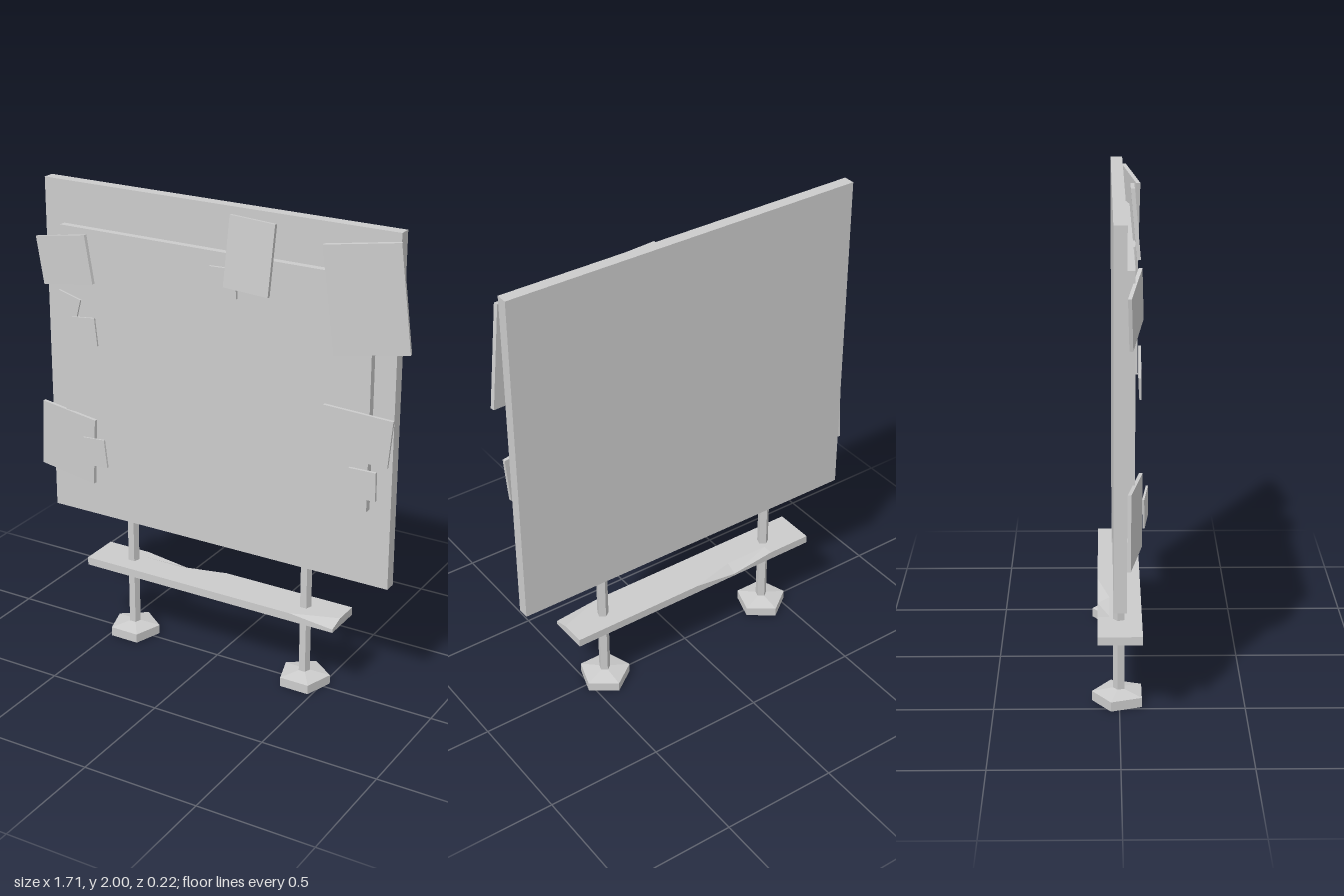
import * as THREE from 'three';

const material = new THREE.MeshStandardMaterial({ color: 0xcccccc, flatShading: true });

function part(parent, name, geometry, x = 0, y = 0, z = 0) {
  const mesh = new THREE.Mesh(geometry, material);
  mesh.name = name;
  mesh.position.set(x, y, z);
  parent.add(mesh);
  return mesh;
}

// Five-sided column with one corner pointing to the back
const pentagon = (top, bottom, height) =>
  new THREE.CylinderGeometry(top, bottom, height, 5, 1, false, Math.PI);

// Poster sheet with a slightly sagging lower edge
function posterGeometry() {
  const outline = [[-0.71, 1.82], [-0.71, 0.855], [-0.2, 0.842], [0.15, 0.84], [0.705, 0.87], [0.705, 1.82]];
  const shape = new THREE.Shape(outline.map(([x, y]) => new THREE.Vector2(x, y)));
  return new THREE.ExtrudeGeometry(shape, { depth: 0.035, bevelEnabled: false });
}

// Plank with a chip in the back edge and a worn front corner
function plankGeometry() {
  const g = new THREE.BoxGeometry(1.19, 0.035, 0.176, 6, 1, 2);
  const p = g.attributes.position;
  for (let i = 0; i < p.count; i++) {
    const column = Math.round(p.getX(i) / (1.19 / 6));
    const z = p.getZ(i);
    if (p.getY(i) < 0) continue;
    if (Math.abs(z) < 0.01) p.setZ(i, column === 3 ? 0.02 : -0.04);
    if (column === -1 && z < -0.05) p.setY(i, -0.008);
    if (column === 3 && z > 0.05) p.setY(i, -0.003);
  }
  g.computeVertexNormals();
  return g;
}

// Pinned papers: name, x, y, z, width, height, thickness, roll, yaw, pitch (degrees)
const papers = [
  ['upperLeftPaper', -0.69, 1.675, 0.057, 0.28, 0.203, 0.014, 11, -9, 0],
  ['upperLeftNote', -0.677, 1.476, 0.07, 0.11, 0.118, 0.008, -15, 0, 0],
  ['lowerLeftNote', -0.59, 1.388, 0.075, 0.115, 0.12, 0.008, 6, 0, 0],
  ['bottomLeftPaper', -0.7, 0.866, 0.055, 0.302, 0.293, 0.014, -3, -9, 0],
  ['bottomLeftNote', -0.538, 0.866, 0.097, 0.121, 0.122, 0.008, 7.5, -8, 0],
  ['topPaper', 0.185, 1.83, 0.072, 0.199, 0.287, 0.016, -3, 0, -5],
  ['topNote', 0.063, 1.703, 0.063, 0.118, 0.12, 0.012, 2, 0, 0],
  ['upperRightPaper', 0.68, 1.735, 0.056, 0.302, 0.432, 0.018, 6.8, 11, 0],
  ['lowerRightPaper', 0.655, 1.185, 0.067, 0.287, 0.197, 0.014, -5, 6, 0],
  ['lowerRightNote', 0.69, 0.99, 0.066, 0.117, 0.12, 0.012, 1, 0, 0],
];

export function createModel() {
  const model = new THREE.Group();
  model.name = 'noticeBoard';

  part(model, 'board', new THREE.BoxGeometry(1.595, 1.46, 0.05), -0.002, 1.27, 0);
  part(model, 'poster', posterGeometry(), 0, 0, 0.02);
  part(model, 'plank', plankGeometry(), -0.004, 0.3365, 0.002);

  // Posts on wide feet
  for (const side of [1, -1]) {
    const support = new THREE.Group();
    support.name = side > 0 ? 'leftSupport' : 'rightSupport';
    support.position.x = side * 0.42;
    part(support, 'post', pentagon(0.0245, 0.0245, 0.52), 0, 0.3, 0);
    part(support, 'foot', pentagon(0.11, 0.11, 0.04), 0, 0.02, 0);
    part(support, 'footSlope', pentagon(0.0245, 0.11, 0.016), 0, 0.048, 0);
    model.add(support);
  }

  for (const [name, x, y, z, w, h, d, roll, yaw, pitch] of papers) {
    const paper = part(model, name, new THREE.BoxGeometry(w, h, d), x, y, z);
    const [rx, ry, rz] = [pitch, yaw, roll].map(THREE.MathUtils.degToRad);
    paper.rotation.set(rx, ry, rz, 'YXZ');
  }

  return model;
}
